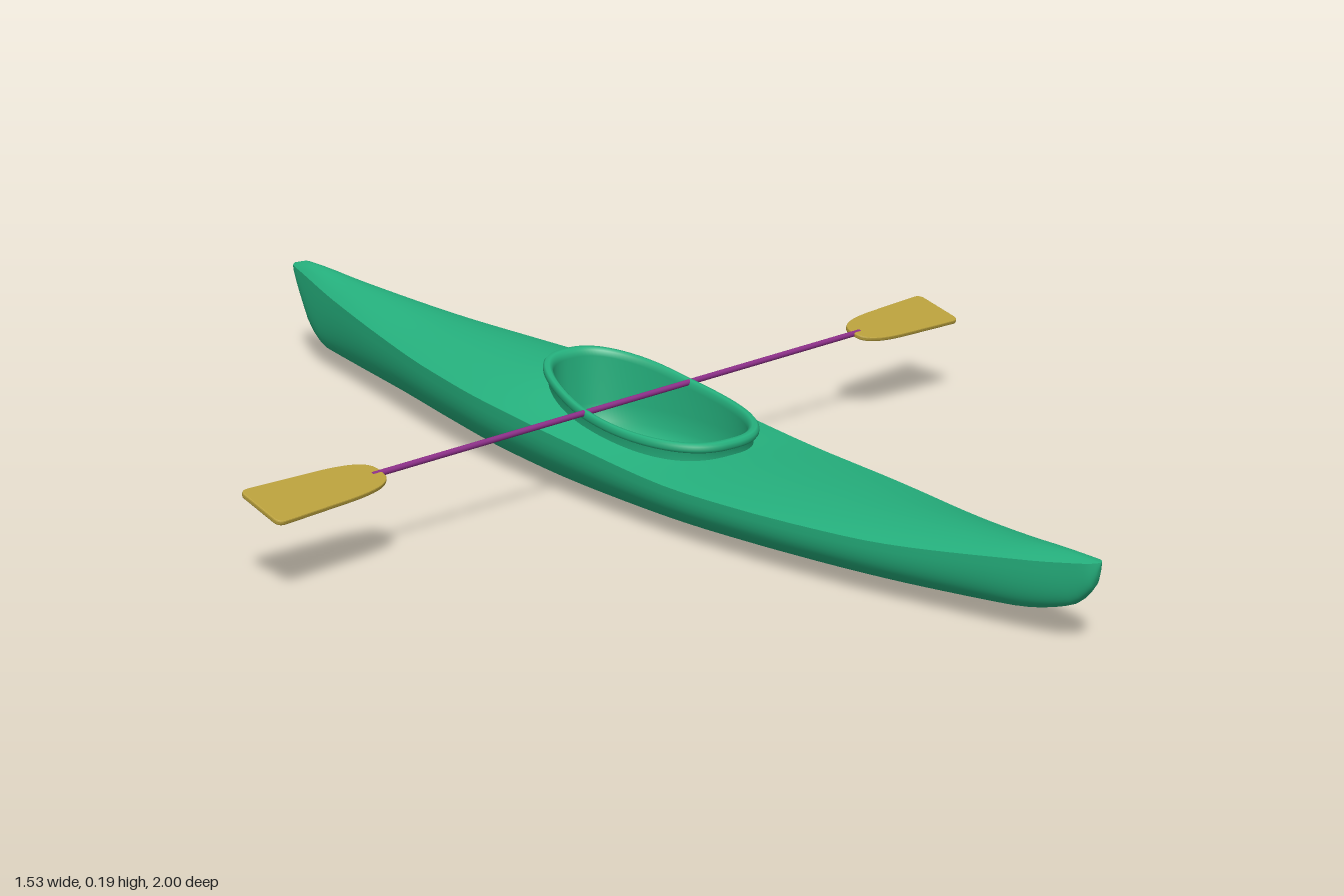
import * as THREE from 'three';

const green = new THREE.MeshStandardMaterial({ color: 0x25b07d, side: THREE.DoubleSide });
green.name = 'hullGreen';
const gold = new THREE.MeshStandardMaterial({ color: 0xb89f3c });
gold.name = 'bladeGold';
const purple = new THREE.MeshStandardMaterial({ color: 0x8c2f88 });
purple.name = 'shaftPurple';

// Smooth lookup through [z, value] pairs, without overshoot
function profile(p) {
  const d = p.slice(1).map((q, i) => (q[1] - p[i][1]) / (q[0] - p[i][0]));
  const m = p.map((_, i) => {
    if (i === 0) return d[0];
    if (i === p.length - 1) return d[i - 1];
    return d[i - 1] * d[i] <= 0 ? 0 : (2 * d[i - 1] * d[i]) / (d[i - 1] + d[i]);
  });
  return (z) => {
    let i = 0;
    while (i < p.length - 2 && z > p[i + 1][0]) i++;
    const h = p[i + 1][0] - p[i][0];
    const t = THREE.MathUtils.clamp((z - p[i][0]) / h, 0, 1);
    const a = t * t * (3 - 2 * t);
    return p[i][1] * (1 - a) + p[i + 1][1] * a
      + h * t * (1 - t) * ((1 - t) * m[i] - t * m[i + 1]);
  };
}

// Boat lines along z
const halfWidth = profile([[-1, 0], [-0.99, 0.012], [-0.95, 0.022], [-0.8, 0.052], [-0.6, 0.092],
  [-0.4, 0.131], [-0.2, 0.158], [0, 0.165], [0.2, 0.161], [0.4, 0.144], [0.6, 0.112], [0.8, 0.065],
  [0.95, 0.025], [0.99, 0.012], [1, 0]]);
const keel = profile([[-1, 0.18], [-0.97, 0.12], [-0.93, 0.06], [-0.88, 0.037], [-0.5, 0.02],
  [0, 0.001], [0.5, 0.013], [0.85, 0.034], [0.95, 0.06], [0.99, 0.1], [1, 0.137]]);
const sheer = profile([[-1, 0.18], [-0.95, 0.175], [-0.8, 0.155], [-0.5, 0.132], [-0.2, 0.12],
  [0, 0.108], [0.3, 0.09], [0.6, 0.094], [0.9, 0.122], [1, 0.137]]);
const ridge = profile([[-1, 0.18], [-0.96, 0.19], [-0.8, 0.181], [-0.5, 0.167], [-0.2, 0.164],
  [0, 0.135], [0.24, 0.102], [0.5, 0.108], [0.8, 0.126], [0.95, 0.138], [1, 0.137]]);
const coamingTop = profile([[-0.2, 0.19], [-0.1, 0.172], [0, 0.152], [0.1, 0.14], [0.24, 0.13]]);

function deckHeight(x, z) {
  const w = halfWidth(z);
  const u = w > 1e-4 ? Math.min(1, Math.abs(x) / w) : 1;
  return sheer(z) + (ridge(z) - sheer(z)) * (1 - u * u);
}

// Egg-shaped cockpit outline, scaled about its middle
function cockpit(angle, scale) {
  const s = Math.sin(angle), c = Math.cos(angle);
  const x = 0.126 * Math.sign(s) * Math.abs(s) ** 0.78 * (1 - 0.08 * c);
  return [x * scale, 0.02 - 0.215 * c * scale];
}

// Surface from point(i, j); wrap joins the last i to the first
function surface(name, nu, nv, wrap, point) {
  const pos = [], index = [];
  const rows = wrap ? nu : nu + 1;
  for (let i = 0; i < rows; i++) for (let j = 0; j <= nv; j++) pos.push(...point(i, j));
  const at = (i, j) => (i % rows) * (nv + 1) + j;
  for (let i = 0; i < nu; i++) for (let j = 0; j < nv; j++) {
    index.push(at(i, j), at(i + 1, j), at(i, j + 1), at(i + 1, j), at(i + 1, j + 1), at(i, j + 1));
  }
  const geometry = new THREE.BufferGeometry();
  geometry.setAttribute('position', new THREE.Float32BufferAttribute(pos, 3));
  geometry.setIndex(index);
  geometry.computeVertexNormals();
  const mesh = new THREE.Mesh(geometry, green);
  mesh.name = name;
  return mesh;
}

function buildBoat() {
  const boat = new THREE.Group();
  boat.name = 'kayak';
  const N = 128;

  // Lower shell: rounded-box sections from sheer to sheer
  boat.add(surface('hull', N / 2, 32, false, (i, j) => {
    const z = -Math.cos((i / (N / 2)) * Math.PI);
    const a = (j / 32) * Math.PI, c = Math.cos(a);
    const x = halfWidth(z) * Math.sign(c) * Math.abs(c) ** 0.72;
    const depth = j % 32 === 0 ? 0 : Math.sin(a) ** 0.8;
    return [x, sheer(z) - (sheer(z) - keel(z)) * depth, z];
  }));

  // Crowned deck between the cockpit and the sheer line
  boat.add(surface('deck', N, 24, true, (i, j) => {
    const a = (i / N) * Math.PI * 2, t = j / 24;
    const [ix, iz] = cockpit(a, 0.94);
    const oz = -Math.cos(a), ox = halfWidth(oz) * Math.sign(Math.sin(a));
    const x = ix + (ox - ix) * t, z = iz + (oz - iz) * t;
    return [x, j === 24 ? sheer(z) : deckHeight(x, z), z];
  }));

  // Cockpit tub, then the raised coaming with its overhanging lip
  const tub = [[0, 0.03], [0.6, 0.032], [0.8, 0.04], [0.87, 0.06], [0.9, 0.09]];
  const lip = [[0.9, -0.014], [0.91, -0.004], [0.94, 0], [0.98, 0], [1, -0.004], [1, -0.011],
    [0.985, -0.015], [0.95, -0.016]];
  const rings = tub.length + lip.length;
  boat.add(surface('cockpitCoaming', N, rings, true, (i, j) => {
    const a = (i / N) * Math.PI * 2;
    const [, rimZ] = cockpit(a, 1);
    if (j < tub.length) {
      const [x, z] = cockpit(a, tub[j][0]);
      return [x, tub[j][1], z];
    }
    if (j < rings) {
      const [scale, drop] = lip[j - tub.length];
      const [x, z] = cockpit(a, scale);
      return [x, coamingTop(rimZ) + drop, z];
    }
    const [x, z] = cockpit(a, 0.95);
    return [x, deckHeight(x, z) - 0.008, z];
  }));
  boat.position.x = 0.012;
  return boat;
}

function buildPaddle() {
  const paddle = new THREE.Group();
  paddle.name = 'paddle';
  const shaft = new THREE.Mesh(new THREE.CylinderGeometry(0.005, 0.005, 1.1, 16), purple);
  shaft.name = 'paddleShaft';
  shaft.rotation.z = Math.PI / 2;
  paddle.add(shaft);

  // Blade outline widening to a rounded square tip
  const s = new THREE.Shape();
  s.moveTo(0.535, -0.016);
  s.bezierCurveTo(0.545, -0.035, 0.58, -0.04, 0.62, -0.043);
  s.lineTo(0.75, -0.049);
  s.quadraticCurveTo(0.763, -0.049, 0.764, -0.037);
  s.lineTo(0.764, 0.037);
  s.quadraticCurveTo(0.763, 0.049, 0.75, 0.049);
  s.lineTo(0.62, 0.043);
  s.bezierCurveTo(0.58, 0.04, 0.545, 0.035, 0.535, 0.016);
  s.quadraticCurveTo(0.53, 0, 0.535, -0.016);
  const geometry = new THREE.ExtrudeGeometry(s, {
    depth: 0.004, bevelThickness: 0.002, bevelSize: 0.002, bevelOffset: -0.002, bevelSegments: 2, curveSegments: 10,
  });
  geometry.translate(0, 0, -0.002).rotateX(-Math.PI / 2);
  for (const [name, turn] of [['leftBlade', 0], ['rightBlade', Math.PI]]) {
    const blade = new THREE.Mesh(geometry, gold);
    blade.name = name;
    blade.rotation.y = turn;
    paddle.add(blade);
  }

  // Rolled about its shaft, then laid across the cockpit
  paddle.rotation.set(0.28, 0.066, 0.011, 'YZX');
  paddle.position.y = 0.147;
  return paddle;
}

export function createModel() {
  const model = new THREE.Group();
  model.name = 'kayakWithPaddle';
  model.add(buildBoat(), buildPaddle());
  return model;
}
